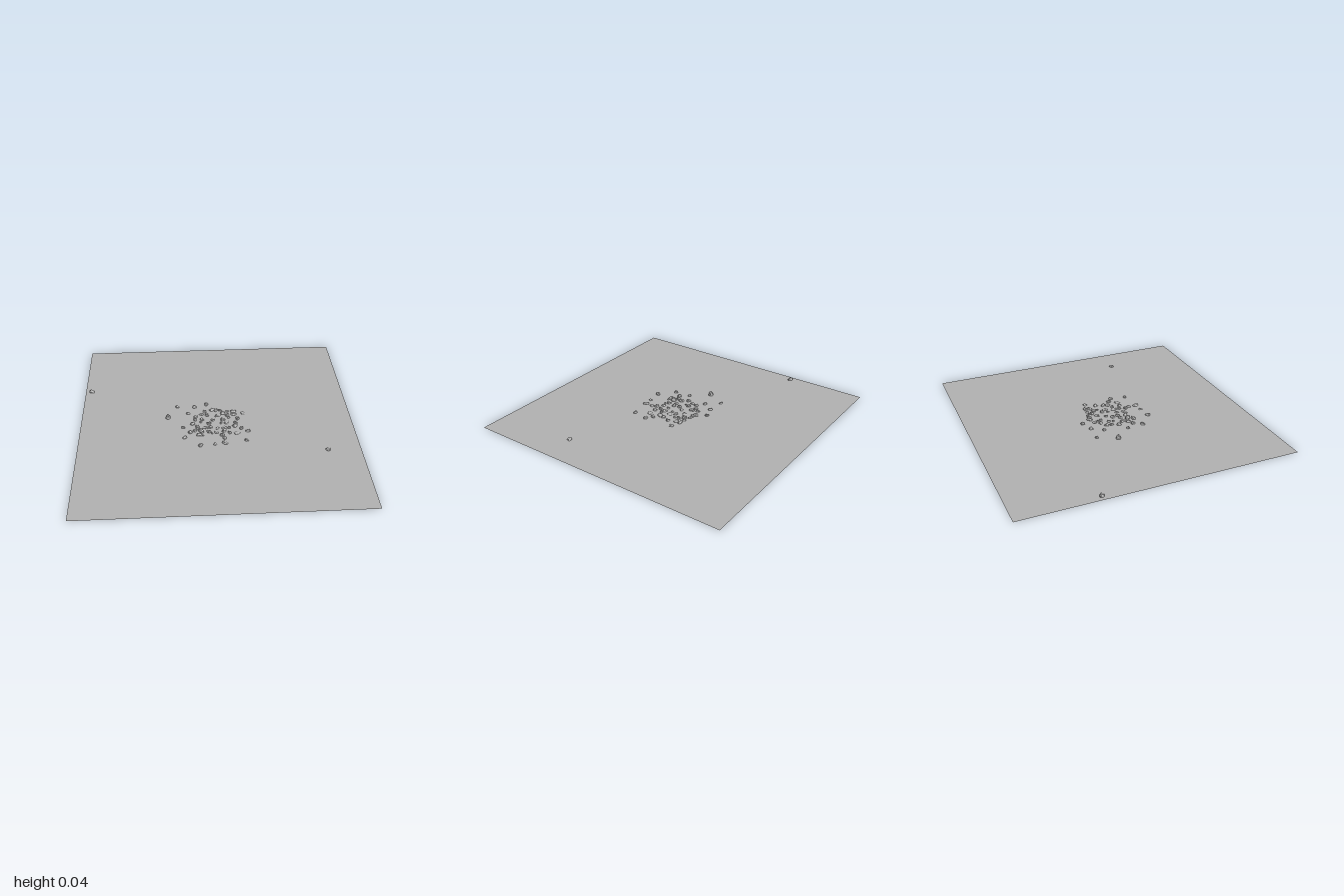
import * as THREE from 'three';

const stoneGrey = new THREE.MeshStandardMaterial({ color: 0xb2b2b2, flatShading: true });
const groundGrey = new THREE.MeshStandardMaterial({ color: 0xb2b2b2, side: THREE.DoubleSide });

// Seeded random numbers
let seed = 11;
function rand(min, max) {
  seed = (seed * 16807) % 2147483647;
  return min + (max - min) * (seed / 2147483647);
}

// Irregular faceted pebble, its underside flattened just above the ground
function pebble(radius, height) {
  const geo = new THREE.IcosahedronGeometry(1, 1);
  const p = geo.attributes.position;
  const a = rand(0, 6), b = rand(0, 6), c = rand(0, 6);
  const stretch = rand(0.72, 1), turn = rand(0, Math.PI);
  for (let i = 0; i < p.count; i++) {
    const x = p.getX(i), y = p.getY(i), z = p.getZ(i);
    const bump = 1 + 0.13 * Math.sin(4 * x + a) + 0.12 * Math.sin(5 * z + b) * Math.cos(3 * y + c);
    p.setXYZ(i, x * bump * radius, Math.max(0.001, y * bump * height), z * bump * radius * stretch);
  }
  geo.rotateY(turn);
  geo.computeVertexNormals();
  return geo;
}

export function createModel() {
  const model = new THREE.Group();

  // Thin square ground sheet
  const ground = new THREE.Mesh(new THREE.PlaneGeometry(2, 2).rotateX(-Math.PI / 2), groundGrey);
  ground.name = 'ground';
  model.add(ground);

  const pebbles = new THREE.Group();
  pebbles.name = 'pebbles';
  model.add(pebbles);
  function addPebble(name, x, z, radius, height) {
    const mesh = new THREE.Mesh(pebble(radius, height), stoneGrey);
    mesh.name = name;
    mesh.position.set(x, 0, z);
    pebbles.add(mesh);
  }

  // Stray and taller stones: x, z, radius, height
  [
    [-0.955, -0.42, 0.022, 0.019], [0.765, 0.39, 0.02, 0.012],
    [-0.36, -0.045, 0.021, 0.032], [-0.12, 0.135, 0.021, 0.03],
    [-0.13, 0.295, 0.019, 0.017], [0.045, 0.275, 0.021, 0.015],
  ].forEach((s) => addPebble('largePebble', ...s));

  // Scatter of small stones: x, z
  [
    [-0.29, -0.18], [-0.16, -0.17], [-0.07, -0.2], [-0.21, -0.09], [-0.25, 0.08], [-0.24, 0.2],
    [-0.025, 0.285], [0.045, 0.22], [0.2, 0.255], [0.22, 0.145], [0.2, -0.075], [0.155, -0.01],
    [0.13, -0.065], [0.085, -0.105], [-0.03, -0.13], [-0.085, -0.11], [-0.07, -0.06], [-0.11, -0.075],
    [-0.155, -0.05], [-0.16, -0.01], [-0.11, -0.01], [-0.18, 0.04], [-0.03, 0], [0.045, 0],
    [0.07, 0.035], [0.135, 0.045], [0.015, -0.06], [0.08, -0.055], [-0.05, 0.085], [-0.145, 0.08],
    [-0.2, 0.14], [-0.135, 0.175], [-0.065, 0.14], [0, 0.1], [0.05, 0.095], [0.045, 0.14],
    [0.085, 0.16], [0.14, 0.165], [0.175, 0.11], [0.13, 0.08], [0.03, 0.185], [-0.165, 0.12],
    [-0.06, 0.04], [0.03, -0.12], [0.085, 0.1], [-0.01, 0.15], [0.05, -0.08], [-0.09, 0.09],
    [0.13, -0.1], [0.0, -0.12],
  ].forEach(([x, z]) => addPebble('smallPebble', x, z, rand(0.014, 0.021), rand(0.009, 0.017)));

  // Fine chips filling the gaps in the middle
  for (let i = 0; i < 16; i++) {
    const angle = i * 2.4, r = 0.04 + 0.035 * Math.sqrt(i);
    addPebble('chip', r * Math.cos(angle) - 0.01, r * Math.sin(angle) + 0.04, rand(0.008, 0.013), rand(0.006, 0.012));
  }
  return model;
}
